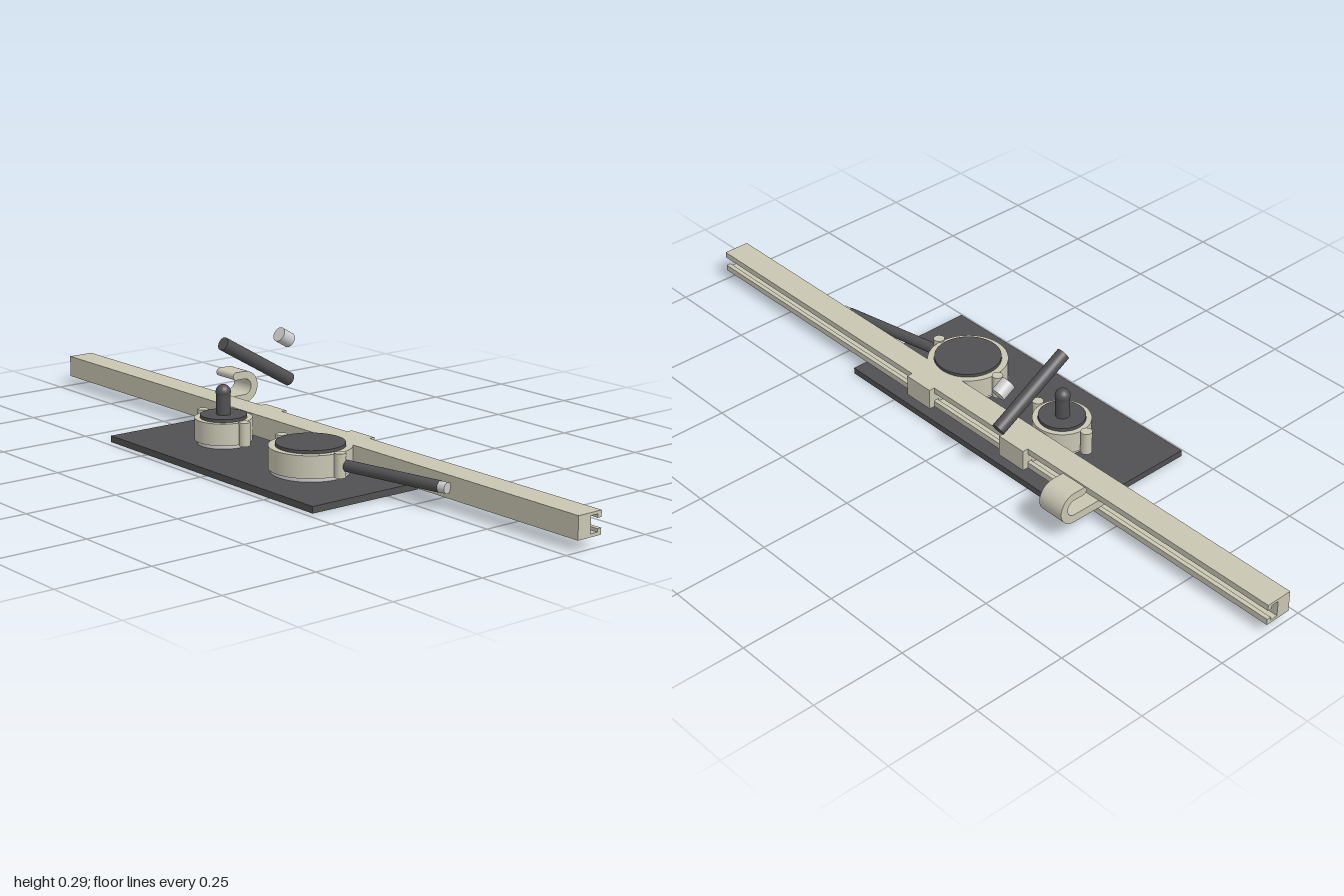
import * as THREE from 'three';

const tan = new THREE.MeshStandardMaterial({ color: 0xc8c5b2 });
const dark = new THREE.MeshStandardMaterial({ color: 0x505052 });
const grey = new THREE.MeshStandardMaterial({ color: 0xcccccc });

export function createModel() {
  const model = new THREE.Group();

  const add = (name, geometry, material, x = 0, y = 0, z = 0) => {
    const mesh = new THREE.Mesh(geometry, material);
    mesh.name = name;
    mesh.position.set(x, y, z);
    model.add(mesh);
    return mesh;
  };

  // upright disc between two heights
  const disc = (name, r, y0, y1, x, z, material) =>
    add(name, new THREE.CylinderGeometry(r, r, y1 - y0, 48), material, x, (y0 + y1) / 2, z);

  // round bar between two points
  const rod = (name, a, b, r, material) => {
    const from = new THREE.Vector3(...a), to = new THREE.Vector3(...b);
    const dir = to.clone().sub(from);
    const mesh = add(name, new THREE.CylinderGeometry(r, r, dir.length(), 32), material);
    mesh.position.copy(from).add(to).multiplyScalar(0.5);
    mesh.quaternion.setFromUnitVectors(new THREE.Vector3(0, 1, 0), dir.normalize());
    return mesh;
  };

  // section drawn in (-z, y), extruded along x and centred on x
  const alongX = (name, shape, width, x) => {
    const geo = new THREE.ExtrudeGeometry(shape, { depth: width, bevelEnabled: false, curveSegments: 24 });
    geo.translate(0, 0, -width / 2).rotateY(Math.PI / 2);
    return add(name, geo, tan, x);
  };
  const polygon = (points) => new THREE.Shape(points.map(([u, v]) => new THREE.Vector2(u, v)));

  // base plate
  add('basePlate', new THREE.BoxGeometry(0.82, 0.017, 0.371), dark, 0, 0.0085, 0.0455);

  // rail with a T-slot open to the back
  alongX('rail', polygon([
    [0.035, 0.027], [0.107, 0.027], [0.107, 0.043], [0.095, 0.043], [0.095, 0.035], [0.074, 0.035],
    [0.074, 0.077], [0.095, 0.077], [0.095, 0.068], [0.107, 0.068], [0.107, 0.084], [0.035, 0.084],
  ]), 2, 0);

  // T-shaped sliders behind each dial
  for (const x of [-0.173, 0.173]) {
    alongX('slider', polygon([
      [0.076, 0.037], [0.094, 0.037], [0.094, 0.045], [0.107, 0.045], [0.107, 0.027], [0.123, 0.027],
      [0.123, 0.084], [0.107, 0.084], [0.107, 0.066], [0.094, 0.066], [0.094, 0.075], [0.076, 0.075],
    ]), 0.086, x);
  }

  // J-shaped hook held in the slot
  const hook = new THREE.Shape();
  hook.moveTo(0.076, 0.045);
  hook.lineTo(0.186, 0.045);
  hook.absarc(0.186, 0.088, 0.043, -Math.PI / 2, Math.PI / 2, false);
  hook.lineTo(0.158, 0.131);
  hook.absarc(0.158, 0.1205, 0.0105, Math.PI / 2, Math.PI * 1.5, false);
  hook.lineTo(0.186, 0.11);
  hook.absarc(0.186, 0.0885, 0.0215, Math.PI / 2, -Math.PI / 2, true);
  hook.lineTo(0.076, 0.067);
  alongX('hook', hook, 0.074, -0.424);

  // two dials: collar ring with ears around a turning disc
  const dialZ = 0.0445;
  const dials = [
    { x: -0.176, ring: 0.074, core: 0.06, foot: 0.067, ear: 0.087 },
    { x: 0.173, ring: 0.1035, core: 0.0865, foot: 0.097, ear: 0.1125 },
  ];
  for (const d of dials) {
    const ring = new THREE.Shape().absarc(0, 0, d.ring, 0, Math.PI * 2, false);
    ring.holes.push(new THREE.Path().absarc(0, 0, d.core, 0, Math.PI * 2, true));
    const geo = new THREE.ExtrudeGeometry(ring, { depth: 0.057, bevelEnabled: false, curveSegments: 48 });
    geo.rotateX(-Math.PI / 2);
    add('collarRing', geo, tan, d.x, 0.027, dialZ);
    disc('dialFoot', d.foot, 0.017, 0.027, d.x, dialZ, grey);
    disc('dialDisc', d.core - 0.0005, 0.027, 0.092, d.x, dialZ, dark);
    for (const side of [-1, 1]) {
      disc('collarEar', 0.0145, 0.027, 0.088, d.x + side * d.ear, dialZ, tan);
    }
  }

  // upright knob on the small dial
  const knobX = -0.177;
  rod('knobPost', [knobX, 0.09, dialZ], [knobX, 0.15, dialZ], 0.0185, dark);
  add('knobBall', new THREE.SphereGeometry(0.0195, 32, 20), dark, knobX, 0.15, dialZ);

  // loose tilted lever and its end cap
  rod('lever', [knobX, 0.274, 0.044], [knobX, 0.151, -0.169], 0.0175, dark);
  rod('leverCap', [knobX, 0.274, -0.136], [knobX, 0.254, -0.170], 0.0195, grey);

  // side handle on the large dial
  rod('sideHandle', [0.28, 0.056, 0.037], [0.57, 0.056, -0.02], 0.0145, dark);
  rod('sideHandleCap', [0.565, 0.056, -0.019], [0.59, 0.056, -0.024], 0.0138, grey);

  return model;
}
